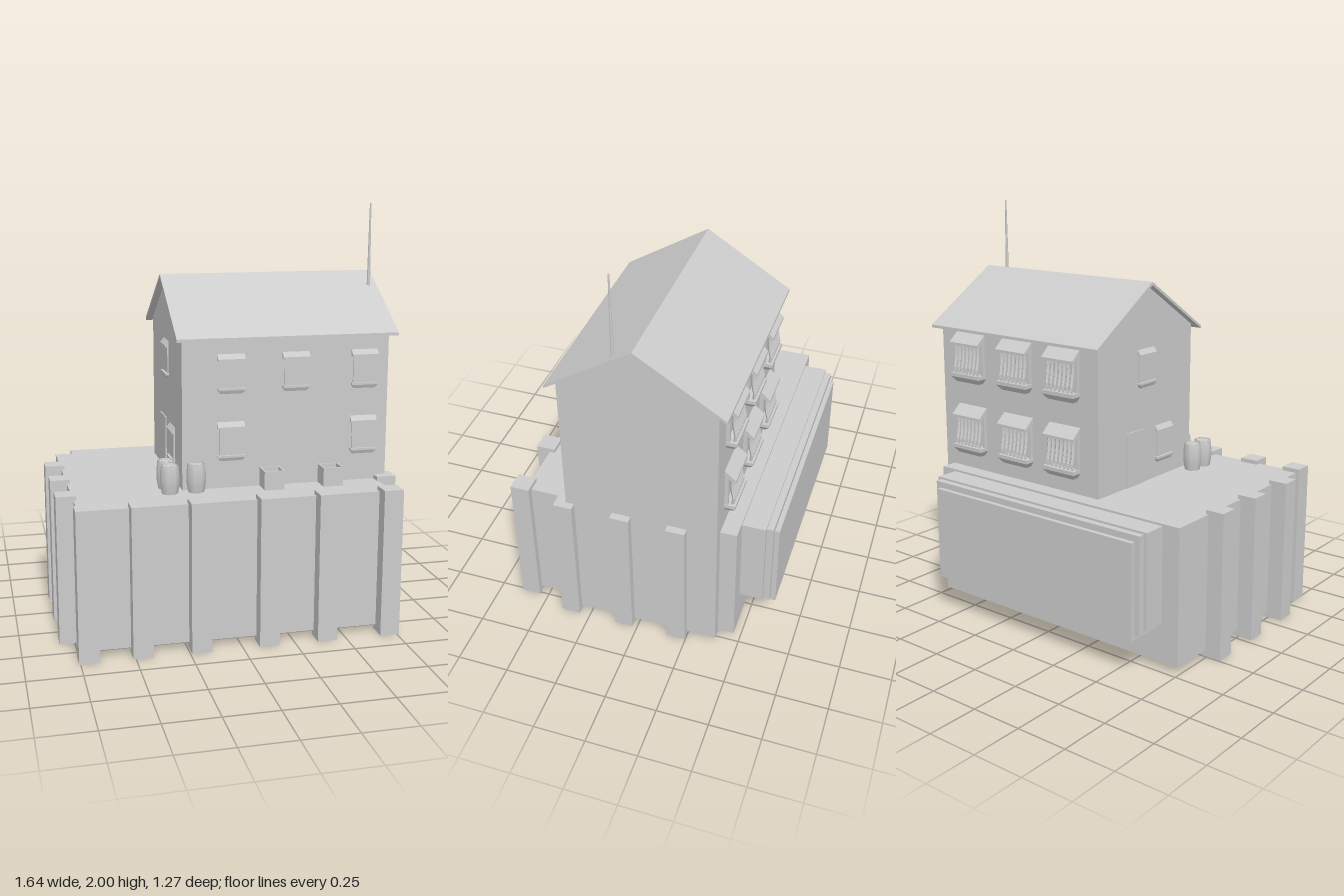
import * as THREE from 'three';

const mat = new THREE.MeshStandardMaterial({ color: 0xcccccc, flatShading: true, side: THREE.DoubleSide });
const smoothMat = new THREE.MeshStandardMaterial({ color: 0xcccccc, side: THREE.DoubleSide });

function add(parent, name, geometry, x = 0, y = 0, z = 0, material = mat) {
  const mesh = new THREE.Mesh(geometry, material);
  mesh.name = name;
  mesh.position.set(x, y, z);
  parent.add(mesh);
  return mesh;
}

// Box given by its two extreme corners
function box(parent, name, x0, x1, y0, y1, z0, z1) {
  return add(parent, name, new THREE.BoxGeometry(x1 - x0, y1 - y0, z1 - z0),
    (x0 + x1) / 2, (y0 + y1) / 2, (z0 + z1) / 2);
}

// Profile of [z, y] points swept along x from x0 to x1
function sweepX(parent, name, points, x0, x1) {
  const shape = new THREE.Shape(points.map(([z, y]) => new THREE.Vector2(-z, y)));
  const geometry = new THREE.ExtrudeGeometry(shape, { depth: x1 - x0, bevelEnabled: false });
  geometry.rotateY(Math.PI / 2);
  return add(parent, name, geometry, x0, 0, 0);
}

// Removes the faces lying on the lowest level, leaving a hollow shell open below
function openBottom(mesh) {
  const source = mesh.geometry.index ? mesh.geometry.toNonIndexed() : mesh.geometry;
  const p = source.attributes.position;
  source.computeBoundingBox();
  const limit = source.boundingBox.min.y + 1e-4;
  const kept = [];
  for (let i = 0; i < p.count; i += 3) {
    if (Math.max(p.getY(i), p.getY(i + 1), p.getY(i + 2)) < limit) continue;
    for (let k = i; k < i + 3; k++) kept.push(p.getX(k), p.getY(k), p.getZ(k));
  }
  mesh.geometry = new THREE.BufferGeometry();
  mesh.geometry.setAttribute('position', new THREE.Float32BufferAttribute(kept, 3));
  mesh.geometry.computeVertexNormals();
}

// Window sill narrowing towards its underside, with its back on z = 0
function addSill(parent, width, top, lip, height, depth) {
  const geometry = new THREE.BoxGeometry(width, height, depth, 1, 2, 1);
  geometry.translate(0, -height / 2, depth / 2);
  const p = geometry.attributes.position;
  for (let i = 0; i < p.count; i++) {
    if (p.getY(i) < -height * 0.9) p.setXYZ(i, p.getX(i) * 0.8, -height, p.getZ(i) * 0.6);
    else if (p.getY(i) < -height * 0.1) p.setY(i, -lip);
  }
  add(parent, 'sill', geometry, 0, top, 0);
}

// Plain window facing +z: lintel, pane and sill, origin at its middle on the wall
function plainWindow() {
  const g = new THREE.Group();
  g.name = 'window';
  sweepX(g, 'lintel', [[0, 0.055], [0.018, 0.055], [0.018, 0.063], [0, 0.086]], -0.065, 0.065);
  box(g, 'pane', -0.056, 0.056, -0.078, 0.058, -0.01, 0.006);
  addSill(g, 0.13, -0.073, 0.01, 0.026, 0.018);
  return g;
}

// Window with sloping hood, sill and bulging bars, facing +z
function barredWindow() {
  const g = new THREE.Group();
  g.name = 'barredWindow';
  const w = 0.095;
  sweepX(g, 'hood', [[0, 0.122], [0.053, 0.075], [0.053, 0.062], [0.04, 0.062], [0, 0.095]], -w, w);
  addSill(g, 2 * w, -0.08, 0.018, 0.045, 0.053);
  box(g, 'pane', -w * 0.85, w * 0.85, -0.09, 0.09, -0.01, 0.005);
  for (const s of [-1, 1]) box(g, 'jamb', s * 0.084 - 0.008, s * 0.084 + 0.008, -0.09, 0.09, 0, 0.018);
  const path = new THREE.CatmullRomCurve3([[0.075, 0.03], [0.03, 0.028], [-0.02, 0.034], [-0.055, 0.041], [-0.09, 0.032]]
    .map(([y, z]) => new THREE.Vector3(0, y, z)));
  const bar = new THREE.TubeGeometry(path, 8, 0.008, 4);
  for (let i = 0; i < 7; i++) add(g, 'bar', bar, -0.075 + i * 0.025);
  return g;
}

function place(parent, item, x, y, z, turn = 0) {
  item.position.set(x, y, z);
  item.rotation.y = turn;
  parent.add(item);
}

export function createModel() {
  const model = new THREE.Group();
  model.name = 'houseOnPlatform';

  // Hollow platform with posts around three sides
  const platform = new THREE.Group();
  platform.name = 'platform';
  model.add(platform);
  box(platform, 'platformBlock', -0.74, 0.73, 0.03, 0.69, -0.47, 0.57);
  const post = (x, z) => box(platform, 'post', x - 0.047, x + 0.047, 0, 0.71, z - 0.046, z + 0.046);
  for (const x of [-0.71, -0.465, -0.195, 0.125, 0.405, 0.715]) post(x, 0.59);
  for (const z of [-0.2, 0.07, 0.35]) {
    post(-0.773, z);
    post(0.77, z);
  }

  // Stepped panels on the back
  box(platform, 'backPanelInner', -0.65, 0.645, 0.22, 0.68, -0.583, -0.47);
  box(platform, 'backPanelMiddle', -0.633, 0.625, 0.205, 0.67, -0.615, -0.47);
  box(platform, 'backPanelOuter', -0.608, 0.597, 0.18, 0.64, -0.638, -0.47);
  platform.children.forEach(openBottom);

  // House walls reaching down through the platform, and gable roof
  const house = new THREE.Group();
  house.name = 'house';
  model.add(house);
  openBottom(sweepX(house, 'walls',
    [[0.345, 0.02], [0.345, 1.418], [-0.022, 1.648], [-0.39, 1.418], [-0.39, 0.02]], -0.225, 0.78));
  sweepX(house, 'roof', [[0.387, 1.394], [0.387, 1.408], [-0.022, 1.668], [-0.434, 1.408], [-0.434, 1.394], [-0.022, 1.652]], -0.256, 0.813);

  // Front windows
  for (const [x, y] of [[0.008, 1.242], [0.32, 1.242], [0.66, 1.242], [0.008, 0.922], [0.66, 0.922]]) {
    place(house, plainWindow(), x, y, 0.345);
  }
  // Side windows and door
  place(house, plainWindow(), -0.225, 1.265, -0.03, -Math.PI / 2);
  place(house, plainWindow(), -0.225, 0.868, 0.115, -Math.PI / 2);
  box(house, 'door', -0.231, -0.22, 0.69, 0.96, -0.18, -0.04);
  // Back windows
  for (const x of [-0.023, 0.273, 0.583]) {
    for (const y of [1.263, 0.895]) place(house, barredWindow(), x, y, -0.39, Math.PI);
  }

  // Antenna
  add(house, 'antenna', new THREE.CylinderGeometry(0.004, 0.009, 0.4, 8), 0.772, 1.8, 0.077);

  // Rounded barrels with a slightly sunken lid
  const staves = new THREE.LatheGeometry([[0.039, 0], [0.045, 0.035], [0.047, 0.068], [0.045, 0.1], [0.041, 0.135], [0.037, 0.135], [0.037, 0.128]]
    .map(([r, y]) => new THREE.Vector2(r, y)), 8);
  const lid = new THREE.CircleGeometry(0.038, 8).rotateX(-Math.PI / 2);
  for (const [x, z] of [[-0.29, 0.283], [-0.29, 0.374], [-0.165, 0.374]]) {
    const barrel = new THREE.Group();
    barrel.name = 'barrel';
    add(barrel, 'staves', staves, 0, 0, 0, smoothMat);
    add(barrel, 'lid', lid, 0, 0.129, 0);
    place(model, barrel, x, 0.69, z, Math.PI / 8);
  }

  // Open crates along the front wall
  for (const x of [0.198, 0.487]) {
    const crate = new THREE.Group();
    crate.name = 'crate';
    model.add(crate);
    box(crate, 'crateFloor', x - 0.049, x + 0.049, 0.69, 0.75, 0.346, 0.435);
    for (const s of [-1, 1]) {
      box(crate, 'crateSide', x + s * 0.045 - 0.004, x + s * 0.045 + 0.004, 0.69, 0.78, 0.346, 0.435);
      const z = 0.3905 + s * 0.0405;
      box(crate, 'crateEnd', x - 0.049, x + 0.049, 0.69, 0.78, z - 0.004, z + 0.004);
    }
  }
  return model;
}
